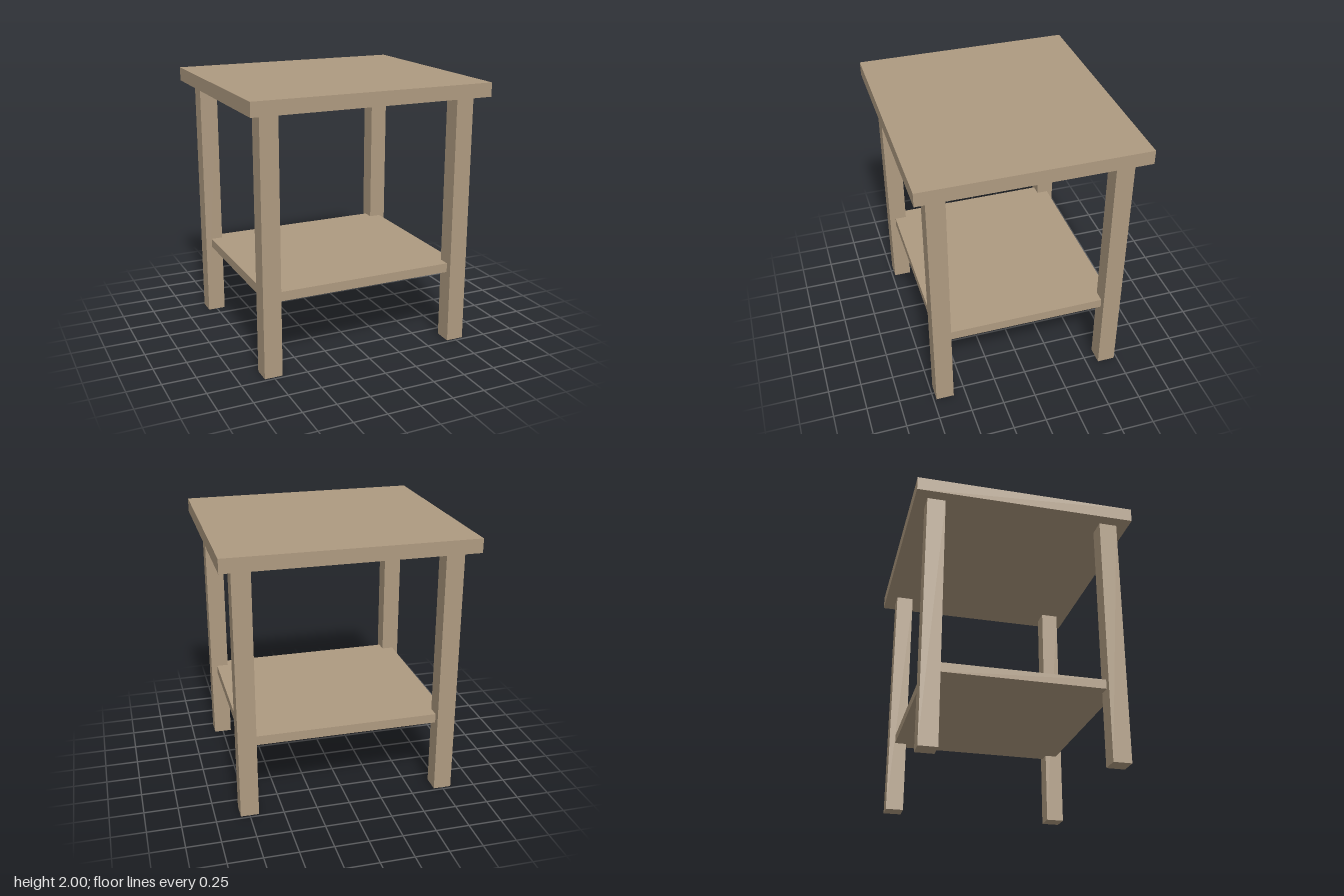
import * as THREE from 'three';

export function createModel() {
  const table = new THREE.Group();
  table.name = 'sideTable';
  const wood = new THREE.MeshStandardMaterial({ color: 0xae9a80 });
  wood.name = 'wood';

  // Box standing on height y0 and reaching up to y1
  function board(name, width, depth, y0, y1, x = 0, z = 0) {
    const mesh = new THREE.Mesh(new THREE.BoxGeometry(width, y1 - y0, depth), wood);
    mesh.name = name;
    mesh.position.set(x, (y0 + y1) / 2, z);
    table.add(mesh);
  }

  board('tableTop', 1.814, 1.634, 1.897, 2);

  // Lower shelf, its corners let into the legs
  board('shelf', 1.542, 1.362, 0.55, 0.62);

  // Four square legs
  const legSize = 0.135;
  for (const [side, sx] of [['Left', 1], ['Right', -1]]) {
    for (const [end, sz] of [['front', 1], ['back', -1]]) {
      board(`${end}${side}Leg`, legSize, legSize, 0, 1.897, sx * 0.75, sz * 0.66);
    }
  }

  return table;
}
